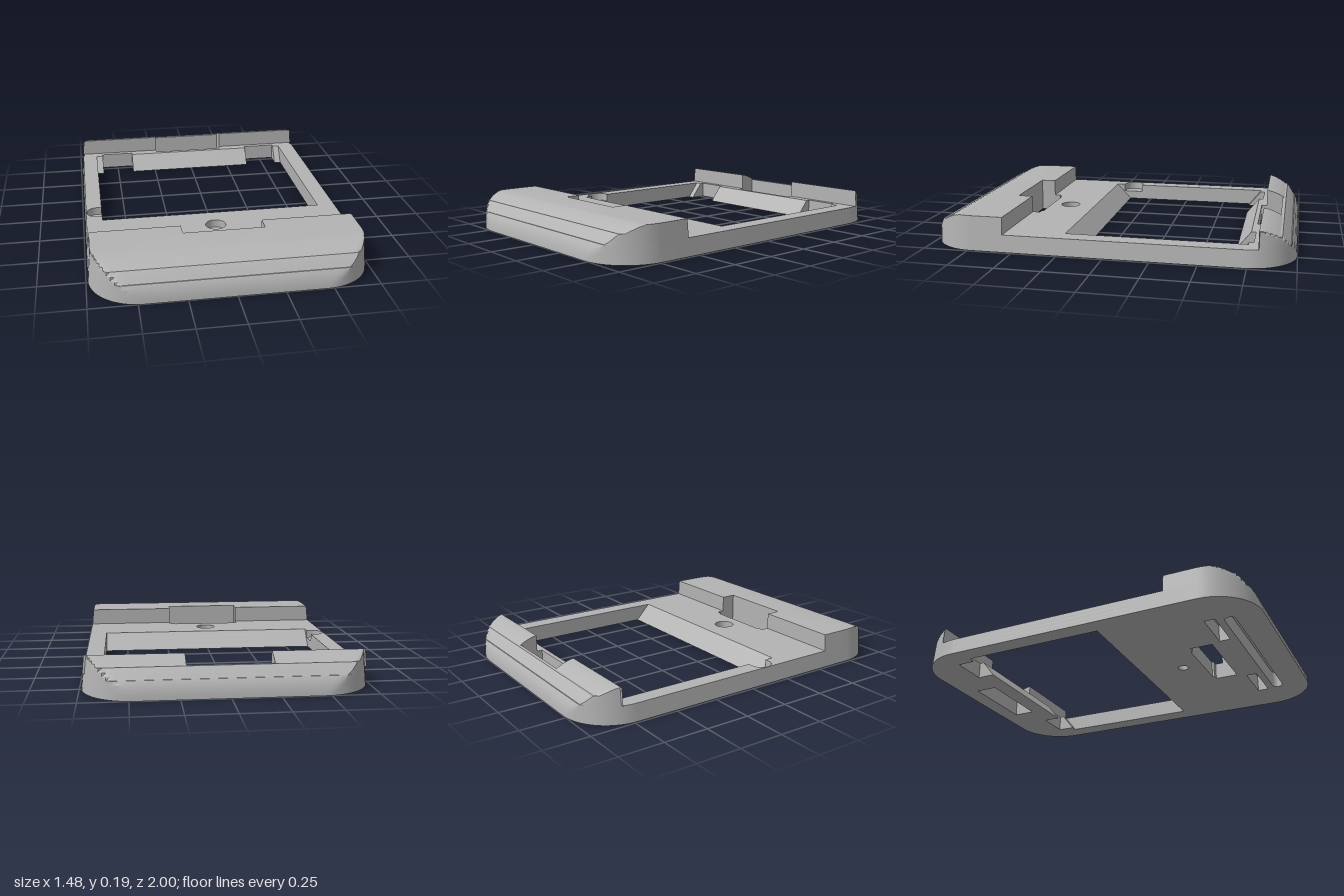
import * as THREE from 'three';
import { toCreasedNormals } from 'three/addons/utils/BufferGeometryUtils.js';

const BASE_TOP = 0.095;
const SLOT = [-0.23, 0.215]; // x range of the cable slots
// end curve of the case: [height, furthest z]
const LOWER = [[0, 1], [0.025, 0.998], [0.05, 0.992], [0.05, 0.992], [0.075, 0.983], [BASE_TOP, 0.97]];
const UPPER = [[BASE_TOP, 0.965], [0.11, 0.953], [0.13, 0.938], [0.15, 0.92], [0.15, 0.91],
  [0.162, 0.89], [0.173, 0.867], [0.183, 0.84], [0.188, 0.82], [0.19, 0.807]];

const clamp = THREE.MathUtils.clamp;
const lerp = THREE.MathUtils.lerp;
const rect = (x0, x1, z0, z1) => [[x0, z0], [x1, z0], [x1, z1], [x0, z1]];

function arc(cx, cz, r, from, to, n) {
  return Array.from({ length: n + 1 }, (_, i) => {
    const a = lerp(from, to, i / n);
    return [cx + r * Math.cos(a), cz - r * Math.sin(a)];
  });
}
const circle = (cx, cz, r, n = 32) => arc(cx, cz, r, 0, Math.PI * 2, n).slice(0, n);

// tapered rounded outline at height y, cut to a box in x and z
function outline(y, x0, x1, z0, z1) {
  const w = 0.74 - 0.1 * y, r = 0.27, pts = [];
  [[1, -1], [-1, -1], [-1, 1], [1, 1]].forEach(([sx, sz], k) => {
    pts.push(...arc(sx * (w - r), sz * (1 - r), r, k * Math.PI / 2, (k + 1) * Math.PI / 2, 16));
  });
  return pts.map(([x, z]) => [clamp(x, x0, x1), clamp(z, z0, z1)]);
}

function orient(ring, clockwise) {
  const pts = ring.map(([x, z]) => new THREE.Vector2(x, -z));
  return THREE.ShapeUtils.isClockWise(pts) === clockwise ? pts : pts.reverse();
}

// solid through stacked levels { y, rings: [outer, ...holes] }, capped at both ends
function loft(levels) {
  const pos = [];
  const put = (p, y) => pos.push(p.x, y, -p.y);
  const stack = levels.map(({ y, rings }) => ({ y, rings: rings.map((r, i) => orient(r, i > 0)) }));
  for (let l = 0; l < stack.length - 1; l++) {
    const lo = stack[l], hi = stack[l + 1];
    lo.rings.forEach((a, k) => {
      const b = hi.rings[k];
      for (let i = 0; i < a.length; i++) {
        const j = (i + 1) % a.length;
        put(a[i], lo.y); put(a[j], lo.y); put(b[j], hi.y);
        put(a[i], lo.y); put(b[j], hi.y); put(b[i], hi.y);
      }
    });
  }
  for (const [level, up] of [[stack[0], false], [stack[stack.length - 1], true]]) {
    const all = level.rings.flat();
    const [outer, ...holes] = level.rings.map(r => r.slice());
    for (const f of THREE.ShapeUtils.triangulateShape(outer, holes)) {
      (up ? f : [f[2], f[1], f[0]]).forEach(i => put(all[i], level.y));
    }
  }
  const geo = new THREE.BufferGeometry();
  geo.setAttribute('position', new THREE.Float32BufferAttribute(pos, 3));
  geo.computeVertexNormals();
  return toCreasedNormals(geo, 0.5);
}

// display window: sloped front and back edges, two clip notches, round thumb recess
function windowRing(y, upperHalf) {
  const t = y / BASE_TOP;
  const back = lerp(-0.675, -0.75, t), front = lerp(0.14, 0.23, t), notch = -0.775;
  const recess = arc(-0.667, 0.12, 0.06, -Math.PI / 2, -Math.PI * 1.5, 16)
    .map(([x, z]) => [upperHalf ? x : -0.64, upperHalf ? z : lerp(0.06, 0.13, (z - 0.06) / 0.12)]);
  return [
    [-0.64, back], [-0.6, back], [-0.6, notch], [-0.4, notch], [-0.4, back],
    [0.39, back], [0.39, notch], [0.59, notch], [0.59, back], [0.63, back],
    [0.63, front], [-0.64, front],
    [-0.64, upperHalf ? 0.18 : 0.13], ...recess, [-0.64, 0.06],
  ];
}

export function createModel() {
  const model = new THREE.Group();
  model.name = 'displayFrame';
  const plastic = new THREE.MeshStandardMaterial({ color: 0xb3b3b3 });
  plastic.name = 'grey plastic';
  const add = (name, levels) => {
    const mesh = new THREE.Mesh(loft(levels), plastic);
    mesh.name = name;
    model.add(mesh);
  };

  // base plate with window, slots, stepped screw hole and underside pockets
  const frontSlot = [[-0.19, 0.5], [0.18, 0.5], [0.18, 0.512], [SLOT[1], 0.512],
    [SLOT[1], 0.64], [SLOT[0], 0.64], [SLOT[0], 0.512], [-0.19, 0.512]];
  const longPocket = [...arc(0.46, 0.82, 0.03, -Math.PI / 2, Math.PI / 2, 10),
    ...arc(-0.46, 0.82, 0.03, Math.PI / 2, Math.PI * 1.5, 10)];
  add('basePlate', LOWER.map(([y, z], i) => {
    const upper = i >= 3;
    return { y, rings: [
      outline(y, -1, 1, -z, z),
      windowRing(y, upper),
      rect(...SLOT, -0.9, -0.775),
      frontSlot,
      circle(-0.01, 0.385, upper ? 0.057 : 0.03),
      longPocket,
      rect(-0.5, -0.25, 0.69, 0.75),
      rect(0.25, 0.5, 0.69, 0.75),
    ] };
  }));

  // raised ends, each made of two sides and a middle set back behind the slot
  const sides = { Right: [-1, SLOT[0]], Left: [SLOT[1], 1] };
  for (const [side, [x0, x1]] of Object.entries(sides)) {
    add('frontBlock' + side, UPPER.map(([y, z]) => ({ y, rings: [outline(y, x0, x1, 0.555, z)] })));
    add('backRail' + side, UPPER.map(([y, z]) => ({ y, rings: [outline(y, x0, x1, -z, -0.805)] })));
  }
  add('frontBlockMiddle', UPPER.map(([y, z]) => ({ y, rings: [outline(y, ...SLOT, 0.64, z)] })));
  add('backRailMiddle', UPPER.filter(([, z]) => z > 0.9)
    .map(([y, z]) => ({ y, rings: [outline(y, ...SLOT, -z, -0.9)] })));

  return model;
}
